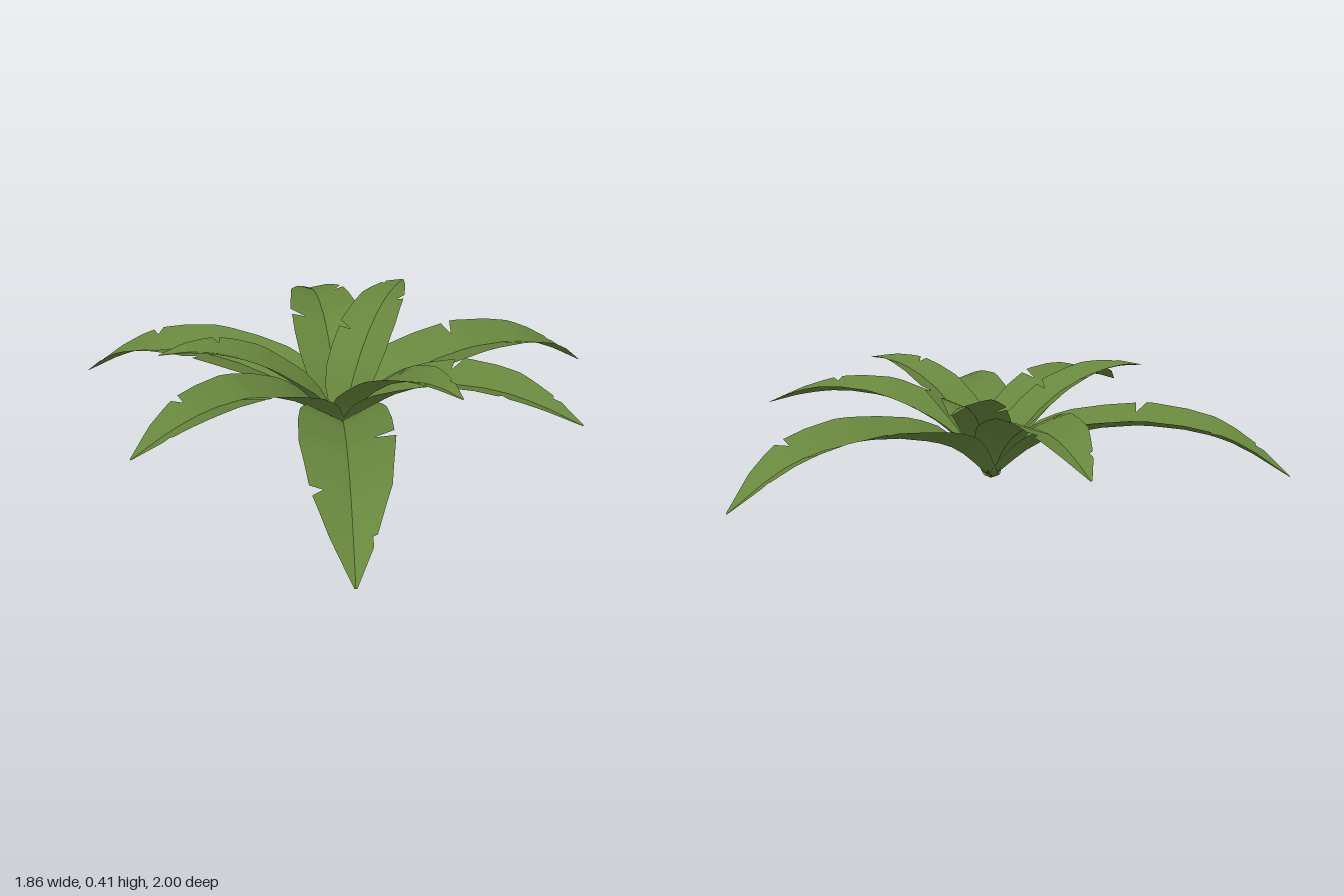
import * as THREE from 'three';

const leafGreen = new THREE.MeshStandardMaterial({ color: 0x67863d, side: THREE.DoubleSide });
leafGreen.name = 'leaf green';

// Half-width along the blade, as [position, fraction of the widest part]
const OUTLINE = [[0, 0.2], [0.1, 0.48], [0.2, 0.8], [0.3, 0.95], [0.4, 1], [0.55, 0.99],
  [0.73, 0.81], [0.87, 0.46], [1, 0.03]];

// Torn notches on each edge, as [position, depth fraction]
const TEARS = { left: [[0.5, 0.42], [0.87, 0.2]], right: [[0.73, 0.34]] };

// Each tier: midrib profile as [distance out, height], widest half-width, tip directions [x, z]
const TIERS = [
  { name: 'lowerLeaf', width: 0.157,
    rib: [[0, 0], [0.17, 0.14], [0.3, 0.19], [0.49, 0.228], [0.7, 0.228], [0.89, 0.185], [1.1, 0.07]],
    tips: [[0.15, -1.09], [-0.93, 0.58], [0.93, 0.6]] },
  { name: 'middleLeaf', width: 0.132,
    rib: [[0, 0], [0.13, 0.14], [0.25, 0.225], [0.4, 0.285], [0.58, 0.305], [0.75, 0.285], [0.915, 0.238]],
    tips: [[0.13, 0.91], [-0.81, -0.41], [0.81, -0.43]] },
  { name: 'upperLeaf', width: 0.108,
    rib: [[0, 0], [0.09, 0.13], [0.17, 0.22], [0.29, 0.31], [0.42, 0.367], [0.54, 0.39], [0.65, 0.388]],
    tips: [[0.65, -0.03], [-0.34, -0.55], [-0.24, 0.6]] },
];

function lookUp(table, u) {
  for (let i = 1; i < table.length; i++) {
    const [a, wa] = table[i - 1], [b, wb] = table[i];
    if (u <= b) return wa + (wb - wa) * (u - a) / (b - a);
  }
  return table[table.length - 1][1];
}

// Insert a sharp wedge for every tear on one edge
function edgeTable(tears) {
  const rows = OUTLINE.filter(([u]) => !tears.some(([t]) => Math.abs(u - t) < 0.03)).slice();
  for (const [t, depth] of tears) {
    const w = lookUp(OUTLINE, t);
    rows.push([t - 0.004, w], [t, w * (1 - depth)], [t + 0.028, lookUp(OUTLINE, t + 0.028) * 1.02]);
  }
  return rows.sort((a, b) => a[0] - b[0]);
}

const LEFT = edgeTable(TEARS.left), RIGHT = edgeTable(TEARS.right);
const ROWS = [...new Set([...LEFT, ...RIGHT, ...OUTLINE].map(r => r[0]).concat([0.05, 0.15, 0.25, 0.65, 0.8, 0.93]))]
  .sort((a, b) => a - b);

// One half of a blade, from the midrib out to its raised edge
function halfBlade(curve, width, table, side) {
  const positions = [], index = [];
  ROWS.forEach((u, i) => {
    const p = curve.getPointAt(u), t = curve.getTangentAt(u);
    const w = width * lookUp(table, u);
    const lift = w * THREE.MathUtils.lerp(0.62, 0.34, Math.min(1, u / 0.4));
    positions.push(0, p.y, p.z, side * w, p.y + t.z * lift, p.z - t.y * lift);
    if (i === 0) return;
    const a = 2 * i - 2, b = a + 1, c = a + 2, d = a + 3;
    if (side > 0) index.push(a, c, b, b, c, d);
    else index.push(a, b, c, b, d, c);
  });
  const geometry = new THREE.BufferGeometry();
  geometry.setAttribute('position', new THREE.Float32BufferAttribute(positions, 3));
  geometry.setIndex(index);
  geometry.computeVertexNormals();
  return geometry;
}

export function createModel() {
  const plant = new THREE.Group();
  plant.name = 'leafyPlant';
  for (const tier of TIERS) {
    const curve = new THREE.CatmullRomCurve3(tier.rib.map(([d, y]) => new THREE.Vector3(0, y, d)));
    const left = halfBlade(curve, tier.width, LEFT, 1);
    const right = halfBlade(curve, tier.width, RIGHT, -1);
    // Three leaves spread around the crown
    for (const [x, z] of tier.tips) {
      const leaf = new THREE.Group();
      leaf.name = tier.name;
      const leftHalf = new THREE.Mesh(left, leafGreen);
      leftHalf.name = 'leftHalf';
      const rightHalf = new THREE.Mesh(right, leafGreen);
      rightHalf.name = 'rightHalf';
      leaf.add(leftHalf, rightHalf);
      leaf.rotation.y = Math.atan2(x, z);
      leaf.position.z = 0.09;
      plant.add(leaf);
    }
  }
  return plant;
}
